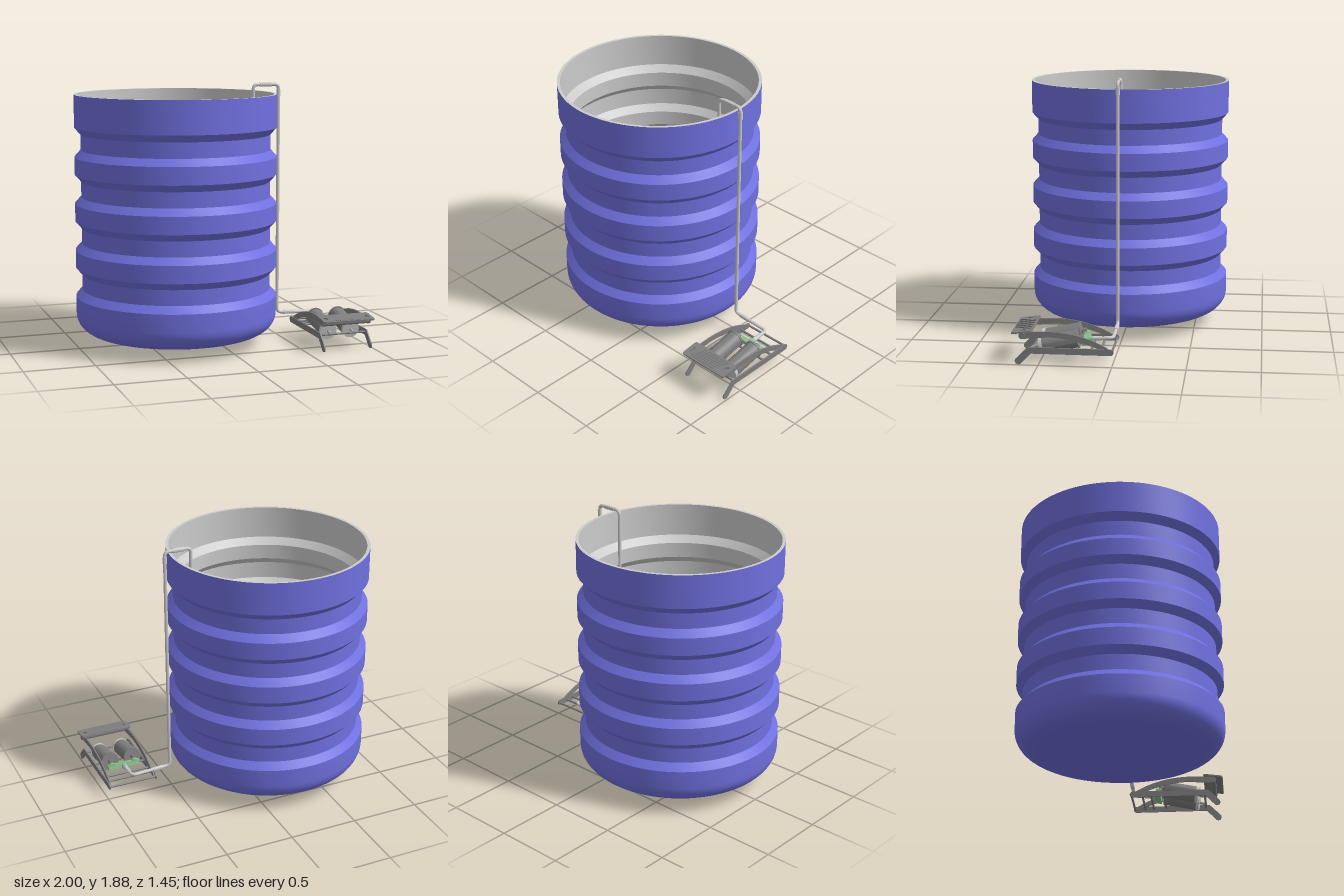
import * as THREE from 'three';
import { toCreasedNormals } from 'three/addons/utils/BufferGeometryUtils.js';

const material = (color) => new THREE.MeshStandardMaterial({ color, side: THREE.DoubleSide });
const V = (x, y, z) => new THREE.Vector3(x, y, z);

export function createModel() {
  const model = new THREE.Group();
  const blue = new THREE.MeshStandardMaterial({ color: 0x7070e0 });
  const grey = material(0xcccccc);
  const dark = material(0x808080);
  const steel = material(0xa8a8a8);
  const green = material(0x8fc08f);

  const add = (parent, name, geometry, mat) => {
    const mesh = new THREE.Mesh(geometry, mat);
    mesh.name = name;
    parent.add(mesh);
    return mesh;
  };

  // Straight round bar between two points
  const rod = (parent, name, a, b, radius, mat, sides = 16) => {
    const mesh = add(parent, name, toCreasedNormals(
      new THREE.CylinderGeometry(radius, radius, a.distanceTo(b), sides), 0.7), mat);
    mesh.position.copy(a).add(b).multiplyScalar(0.5);
    mesh.quaternion.setFromUnitVectors(V(0, 1, 0), b.clone().sub(a).normalize());
    return mesh;
  };

  // Ribbed wall profile; inset gives the inner skin
  const wall = (inset) => {
    const R = 0.725 - inset, G = 0.68 - inset, base = 0.08 + inset;
    const pts = [new THREE.Vector2(0, base), new THREE.Vector2(0.55 - inset, base)];
    for (let i = 1; i <= 10; i++) {
      const a = (i / 10) * Math.PI / 2;
      pts.push(new THREE.Vector2(0.55 - inset + 0.175 * Math.sin(a), base + 0.15 * (1 - Math.cos(a))));
    }
    for (let i = 0; i < 4; i++) {
      const y = 0.41 + i * 0.335;
      for (const [r, h] of [[R, -0.05], [G, 0], [G, 0.11], [R, 0.16]]) pts.push(new THREE.Vector2(r, y + h));
    }
    pts.push(new THREE.Vector2(R, 1.81));
    return pts;
  };

  // Barrel
  const barrel = new THREE.Group();
  barrel.name = 'barrel';
  barrel.position.x = -0.275;
  model.add(barrel);
  const lathe = (pts) => toCreasedNormals(new THREE.LatheGeometry(pts, 96), 0.5);
  add(barrel, 'barrelOuterWall', lathe(wall(0)), blue);
  add(barrel, 'barrelInnerWallAndRim',
    lathe([new THREE.Vector2(0.725, 1.81), ...wall(0.022).reverse()]), grey);

  // Hose with rounded corners
  const corners = [V(0.313, 0.16, 0.01), V(0.313, 1.865, 0.01), V(0.508, 1.865, 0.01),
    V(0.508, 0.165, 0.01), V(0.805, 0.15, 0.01), V(0.805, 0.14, 0.19)];
  const path = new THREE.CurvePath();
  let last = corners[0];
  for (let i = 1; i < corners.length; i++) {
    const c = corners[i], next = corners[i + 1];
    if (!next) { path.add(new THREE.LineCurve3(last, c)); break; }
    const before = c.clone().add(corners[i - 1].clone().sub(c).setLength(0.035));
    const after = c.clone().add(next.clone().sub(c).setLength(0.035));
    path.add(new THREE.LineCurve3(last, before));
    path.add(new THREE.QuadraticBezierCurve3(before, c, after));
    last = after;
  }
  add(model, 'hose', new THREE.TubeGeometry(path, 500, 0.0125, 12), grey);
  const sleeves = [[V(0.36, 1.865, 0.01), V(0.45, 1.865, 0.01)], [V(0.56, 0.162, 0.01), V(0.645, 0.158, 0.01)],
    [V(0.508, 1.78, 0.01), V(0.508, 1.83, 0.01)], [V(0.805, 0.146, 0.09), V(0.805, 0.14, 0.185)]];
  for (const [a, b] of sleeves) rod(model, 'hoseSleeve', a, b, 0.016, grey);

  // Foot pump
  const pump = new THREE.Group();
  pump.name = 'footPump';
  model.add(pump);
  const CX = 0.805, T = 0.009;

  // Side plate drawn in the z-y plane
  const sidePlate = (name, shape, x) => {
    const geometry = new THREE.ExtrudeGeometry(shape, { depth: T, bevelEnabled: false, curveSegments: 16 });
    geometry.rotateY(-Math.PI / 2).translate(x + T / 2, 0, 0);
    add(pump, name, toCreasedNormals(geometry, 0.6), dark);
  };

  const rail = new THREE.Shape();
  rail.moveTo(0.01, 0.078);
  rail.lineTo(0.55, 0.078);
  rail.lineTo(0.618, 0.008);
  rail.absarc(0.636, 0.024, 0.024, -2.4, 0.75);
  rail.lineTo(0.572, 0.122);
  rail.lineTo(0.01, 0.122);
  rail.absarc(0.01, 0.1, 0.022, Math.PI / 2, Math.PI * 1.5);

  const arm = new THREE.Shape();
  arm.moveTo(-0.01, 0.1);
  arm.quadraticCurveTo(0.18, 0.225, 0.42, 0.23);
  arm.lineTo(0.61, 0.224);
  arm.absarc(0.61, 0.2, 0.024, Math.PI / 2, -Math.PI / 2, true);
  arm.lineTo(0.43, 0.192);
  arm.quadraticCurveTo(0.25, 0.19, 0.02, 0.09);

  for (const s of [-1, 1]) {
    sidePlate('baseRail', rail, CX + s * 0.18);
    sidePlate('pedalArm', arm, CX + s * 0.169);
  }

  // Cross bars joining the two sides
  for (const [z, y] of [[0, 0.1], [0.08, 0.1], [0.145, 0.1], [0.24, 0.11], [0.545, 0.1]])
    rod(pump, 'crossBar', V(CX - 0.18, y, z), V(CX + 0.18, y, z), 0.008, dark);
  rod(pump, 'pedalAxle', V(CX - 0.185, 0.2, 0.61), V(CX + 0.185, 0.2, 0.61), 0.022, dark);

  // Twin cylinders
  const along = (x, t) => V(x, 0.165 - t * 0.05, 0.25 + t * 0.24);
  for (const s of [-1, 1]) {
    const x = CX + s * 0.088;
    rod(pump, 'pumpCylinder', along(x, 0), along(x, 0.96), 0.061, dark, 40);
    rod(pump, 'cylinderCap', along(x, 0.95), along(x, 1.04), 0.064, grey, 40);
    rod(pump, 'cylinderBackFlange', along(x, -0.05), along(x, 0), 0.066, dark, 40);
    rod(pump, 'outletNeck', along(x, -0.2), along(x, -0.04), 0.018, dark);
    rod(pump, 'pistonRod', along(x, 0.95), V(x, 0.1, 0.545), 0.01, steel);
  }

  // Air manifold linking both cylinders to the hose
  const manifold = add(pump, 'manifold', new THREE.BoxGeometry(0.245, 0.035, 0.035), green);
  manifold.position.set(CX, 0.142, 0.195);
  manifold.rotation.x = 0.2;
  rod(pump, 'manifoldInlet', V(CX, 0.138, 0.15), V(CX, 0.142, 0.2), 0.021, green);
  for (const s of [-1, 1])
    rod(pump, 'manifoldPort', V(CX + s * 0.088, 0.15, 0.18), V(CX + s * 0.088, 0.15, 0.225), 0.024, green);

  // Pedal plate with two half-round openings and slanted treads
  const pedal = new THREE.Group();
  pedal.name = 'pedal';
  pedal.position.set(CX, 0.222, 0.61);
  pedal.rotation.x = 0.13;
  pump.add(pedal);
  const w = 0.195, d = 0.072, r = 0.016;
  const plate = new THREE.Shape();
  plate.absarc(w - r, d - r, r, 0, Math.PI / 2);
  plate.absarc(-w + r, d - r, r, Math.PI / 2, Math.PI);
  plate.absarc(-w + r, -d + r, r, Math.PI, Math.PI * 1.5);
  plate.absarc(w - r, -d + r, r, Math.PI * 1.5, Math.PI * 2);
  for (const s of [-1, 1]) {
    const hole = new THREE.Path();
    hole.absarc(s * 0.168, 0, 0.025, s * Math.PI / 2, s * Math.PI / 2 + Math.PI);
    hole.closePath();
    plate.holes.push(hole);
  }
  const plateGeometry = new THREE.ExtrudeGeometry(plate, { depth: 0.01, bevelEnabled: false, curveSegments: 10 });
  plateGeometry.rotateX(-Math.PI / 2);
  add(pedal, 'pedalPlate', toCreasedNormals(plateGeometry, 0.6), dark);
  for (let i = 0; i < 14; i++) {
    const tread = add(pedal, 'pedalTread', new THREE.BoxGeometry(0.006, 0.005, 0.13), dark);
    tread.position.set(-0.105 + i * 0.0162, 0.0115, 0);
    tread.rotation.y = -0.45;
  }
  return model;
}
